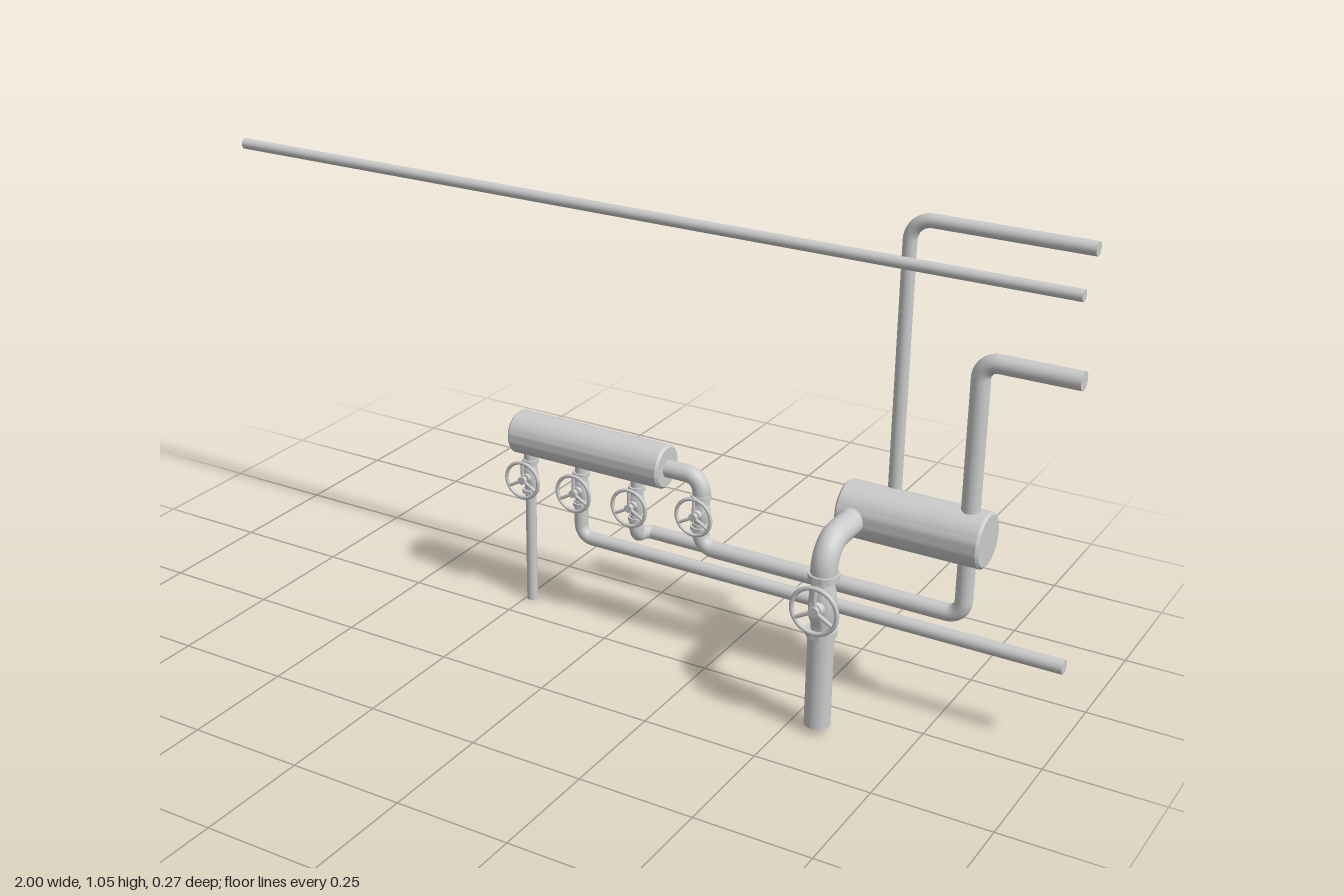
import * as THREE from 'three';
import { mergeGeometries, toCreasedNormals } from 'three/addons/utils/BufferGeometryUtils.js';

const material = new THREE.MeshStandardMaterial({ color: 0xcccccc });
const Z = -0.076; // main plane of the pipework

function mesh(name, geometry, parent) {
  const m = new THREE.Mesh(geometry, material);
  m.name = name;
  parent.add(m);
  return m;
}

// Capped pipe through corner points, each corner rounded to the given bend radius
function pipe(name, corners, r, bend, parent) {
  const p = corners.map((c) => new THREE.Vector3(...c));
  const parts = [];
  const add = (curve, segments) => parts.push(new THREE.TubeGeometry(curve, segments, r, 24));
  const cap = (at, from) => {
    const o = new THREE.Object3D();
    o.position.copy(at);
    o.lookAt(at.clone().multiplyScalar(2).sub(from));
    o.updateMatrix();
    parts.push(new THREE.CircleGeometry(r, 24).applyMatrix4(o.matrix));
  };
  let start = p[0];
  for (let i = 1; i < p.length - 1; i++) {
    const inDir = p[i].clone().sub(p[i - 1]).normalize();
    const outDir = p[i + 1].clone().sub(p[i]).normalize();
    const a = p[i].clone().addScaledVector(inDir, -bend);
    const b = p[i].clone().addScaledVector(outDir, bend);
    add(new THREE.LineCurve3(start, a), 1);
    add(new THREE.CubicBezierCurve3(a, a.clone().lerp(p[i], 0.552), b.clone().lerp(p[i], 0.552), b), 10);
    start = b;
  }
  const n = p.length - 1;
  add(new THREE.LineCurve3(start, p[n]), 1);
  cap(p[0], p[1]);
  cap(p[n], p[n - 1]);
  return mesh(name, mergeGeometries(parts), parent);
}

// Closed drum lying along x with slightly softened rims
function tank(name, x0, x1, y, r, parent) {
  const h = (x1 - x0) / 2, e = 0.005;
  const profile = [[0, -h], [r - e, -h], [r, -h + e], [r, h - e], [r - e, h], [0, h]]
    .map(([a, b]) => new THREE.Vector2(a, b));
  const g = toCreasedNormals(new THREE.LatheGeometry(profile, 48), 0.6);
  const m = mesh(name, g.rotateZ(-Math.PI / 2), parent);
  m.position.set((x0 + x1) / 2, y, Z);
}

// Flanged valve with a three-spoke handwheel facing the front
function valve(name, x, y, z, r, half, wheelR, reach, parent) {
  const g = new THREE.Group();
  g.name = name;
  g.position.set(x, y, z);
  parent.add(g);

  const f = r * 1.18, t = half * 0.2, n = r * 0.8;
  const profile = [[0, -half], [f, -half], [f, -half + t], [n, -half + t], [n, -half * 0.62],
    [r, -half * 0.4], [r * 1.05, 0], [r, half * 0.4], [n, half * 0.62],
    [n, half - t], [f, half - t], [f, half], [0, half]].map(([a, b]) => new THREE.Vector2(a, b));
  mesh('valveBody', toCreasedNormals(new THREE.LatheGeometry(profile, 28), 0.7), g);

  const bonnet = mesh('bonnet', new THREE.CylinderGeometry(r * 0.5, r * 0.65, r * 0.4, 20).rotateX(Math.PI / 2), g);
  bonnet.position.z = r * 1.1;
  const stem = mesh('stem', new THREE.CylinderGeometry(r * 0.2, r * 0.2, reach, 12).rotateX(Math.PI / 2), g);
  stem.position.z = reach / 2;

  const wheel = new THREE.Group();
  wheel.name = 'handwheel';
  wheel.position.z = reach;
  g.add(wheel);
  const wire = wheelR * 0.09;
  mesh('wheelRim', new THREE.TorusGeometry(wheelR - wire, wire, 10, 36), wheel);
  mesh('wheelHub', new THREE.CylinderGeometry(wheelR * 0.2, wheelR * 0.2, wire * 2.4, 16).rotateX(Math.PI / 2), wheel);
  for (let i = 0; i < 3; i++) {
    const spoke = new THREE.CylinderGeometry(wire * 0.9, wire * 0.9, wheelR - wire, 8);
    spoke.translate(0, (wheelR - wire) / 2, 0).rotateZ(i * Math.PI * 2 / 3);
    mesh('wheelSpoke', spoke, wheel);
  }
}

export function createModel() {
  const model = new THREE.Group();
  model.name = 'pipework';

  // Collecting drums
  tank('longTank', -0.267, 0.11, 0.408, 0.048, model);
  tank('shortTank', 0.522, 0.827, 0.42, 0.058, model);

  // Overhead pipe and the two risers from the short drum
  pipe('overheadPipe', [[-1, 0.95, Z], [0.97, 0.95, Z]], 0.012, 0, model);
  pipe('tallRiser', [[0.615, 0.42, -0.102], [0.615, 1.033, -0.102], [0.98, 1.033, -0.102]], 0.014, 0.045, model);
  pipe('shortRiser', [[0.786, 0.42, Z], [0.786, 0.787, Z], [0.985, 0.787, Z]], 0.019, 0.035, model);

  // Front outlet with its large valve
  pipe('outletElbow', [[0.56, 0.418, Z], [0.56, 0.418, 0.095], [0.56, 0.34, 0.095]], 0.027, 0.056, model);
  valve('outletValve', 0.56, 0.287, 0.095, 0.027, 0.068, 0.054, 0.038, model);
  pipe('outletDrop', [[0.56, 0.016, 0.095], [0.56, 0.23, 0.095]], 0.027, 0, model);

  // Small valves below the long drum
  const outlets = [-0.237, -0.105, 0.035];
  for (const x of outlets) {
    pipe('valveNeck', [[x, 0.325, Z], [x, 0.39, Z]], 0.014, 0, model);
    valve('tankValve', x, 0.307, Z, 0.016, 0.04, 0.045, 0.033, model);
  }
  valve('endValve', 0.192, 0.325, Z, 0.019, 0.04, 0.045, 0.033, model);

  // Lines leaving the small valves
  pipe('drainPipe', [[-0.237, 0.002, Z], [-0.237, 0.28, Z]], 0.012, 0, model);
  pipe('lowerPipe', [[-0.105, 0.28, Z], [-0.105, 0.192, Z], [1, 0.192, Z]], 0.015, 0.03, model);
  pipe('branchPipe', [[0.035, 0.28, Z], [0.035, 0.228, Z], [0.035, 0.222, -0.12],
    [0.6, 0.222, -0.12], [0.66, 0.243, Z]], 0.015, 0.018, model);
  pipe('tankEndElbow', [[0.1, 0.405, Z], [0.192, 0.405, Z], [0.192, 0.345, Z]], 0.019, 0.034, model);
  pipe('linkPipe', [[0.192, 0.3, Z], [0.192, 0.244, Z], [0.786, 0.244, Z], [0.786, 0.4, Z]], 0.018, 0.034, model);

  return model;
}
